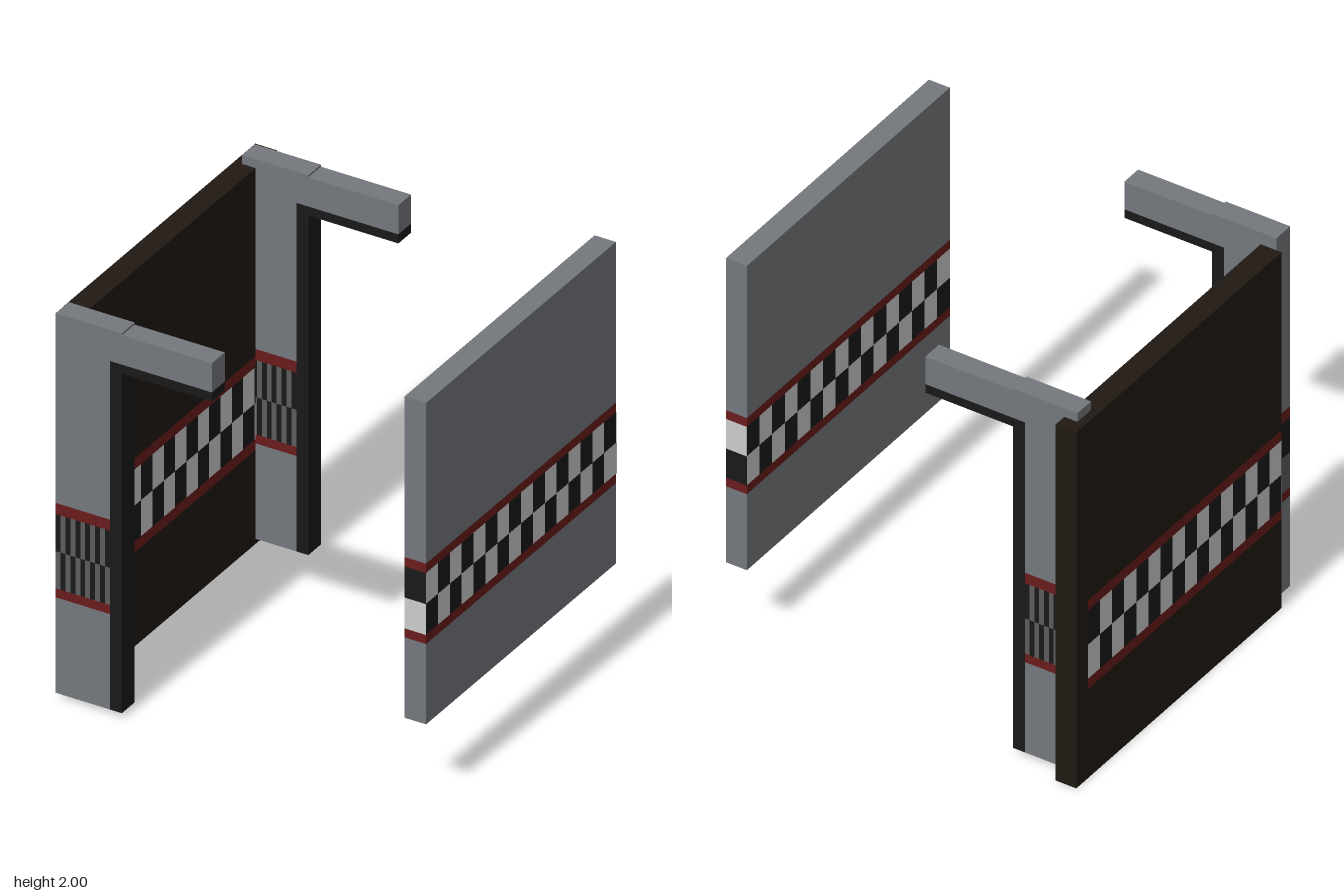
import * as THREE from 'three';

const mat = (color) => new THREE.MeshStandardMaterial({ color, flatShading: true });
const grey = mat(0x74777c);
const brown = mat(0x201913);
const black = mat(0x191919);
const white = mat(0xcccccc);
const dim = mat(0x5c5c5c);
const red = mat(0x6a1b1b);

// Box given by its lower and upper corner
function box(parent, name, material, [x0, y0, z0], [x1, y1, z1]) {
  const mesh = new THREE.Mesh(new THREE.BoxGeometry(x1 - x0, y1 - y0, z1 - z0), material);
  mesh.position.set((x0 + x1) / 2, (y0 + y1) / 2, (z0 + z1) / 2);
  mesh.name = name;
  parent.add(mesh);
}

// Upright wall panel with a checkered stripe between two red lines
function wallPanel(name, material, x0, x1, y0, y1, z0, z1, bandZ0) {
  const g = new THREE.Group();
  g.name = name;
  const h = y1 - y0;
  const [b0, b1, b2, b3, b4] = [0.25, 0.279, 0.375, 0.471, 0.5].map((f) => y0 + f * h);
  const e = 0.002;
  box(g, 'lowerBoard', material, [x0, y0, z0], [x1, b0, z1]);
  box(g, 'upperBoard', material, [x0, b4, z0], [x1, y1, z1]);
  if (bandZ0 > z0) box(g, 'plainEnd', material, [x0, b0, z0], [x1, b4, bandZ0]);
  box(g, 'lowerRedLine', red, [x0, b0, bandZ0], [x1, b1, z1]);
  box(g, 'upperRedLine', red, [x0, b3, bandZ0], [x1, b4, z1]);
  const n = 16, w = (z1 - bandZ0) / n;
  for (let i = 0; i < n; i++) {
    const za = bandZ0 + i * w;
    box(g, 'lowerCheck', i % 2 ? black : white, [x0, b1, za], [x1, b2, za + w]);
    box(g, 'upperCheck', i % 2 ? white : black, [x0, b2, za], [x1, b3, za + w]);
  }
  // Checks on the narrow ends
  box(g, 'frontEndCheck', white, [x0, b1, z1], [x1, b2, z1 + e]);
  box(g, 'frontEndCheck', black, [x0, b2, z1], [x1, b3, z1 + e]);
  if (bandZ0 === z0) {
    box(g, 'backEndCheck', black, [x0, b1, z0 - e], [x1, b2, z0]);
    box(g, 'backEndCheck', white, [x0, b2, z0 - e], [x1, b3, z0]);
  }
  return g;
}

// Post with an overhanging arm, edged in black on its inner side
function bracket(name, z0, z1) {
  const g = new THREE.Group();
  g.name = name;
  const x0 = -0.89, x1 = -0.62, x2 = -0.56, x3 = -0.11;
  box(g, 'lowerPost', grey, [x0, 0.025, z0], [x1, 0.5, z1]);
  box(g, 'lowerRedLine', red, [x0, 0.5, z0], [x1, 0.545, z1]);
  box(g, 'upperRedLine', red, [x0, 0.915, z0], [x1, 0.97, z1]);
  box(g, 'upperPost', grey, [x0, 0.97, z0], [x1, 1.76, z1]);
  box(g, 'postHead', grey, [x0, 1.76, z0], [x2, 1.915, z1]);
  box(g, 'postEdge', black, [x1, 0.025, z0], [x2, 1.76, z1]);
  box(g, 'arm', grey, [x2, 1.76, z0], [x3, 1.905, z1]);
  box(g, 'armEdge', black, [x2, 1.715, z0], [x3, 1.76, z1]);
  // Fine checkered stripe
  const n = 11, w = (x1 - x0) / n;
  for (let i = 0; i < n; i++) {
    const xa = x0 + i * w;
    box(g, 'lowerCheck', i % 2 ? black : dim, [xa, 0.545, z0], [xa + w, 0.73, z1]);
    box(g, 'upperCheck', i % 2 ? dim : black, [xa, 0.73, z0], [xa + w, 0.915, z1]);
  }
  return g;
}

export function createModel() {
  const model = new THREE.Group();
  model.name = 'wallPanels';
  model.add(
    wallPanel('greyPanel', grey, 0.82, 0.927, 0.4, 2, -0.768, 0.803, -0.768),
    wallPanel('darkPanel', brown, -0.93, -0.823, 0, 1.87, -0.86, 0.73, -0.77),
    bracket('frontBracket', 0.75, 0.857),
    bracket('backBracket', -0.79, -0.685),
  );
  return model;
}
